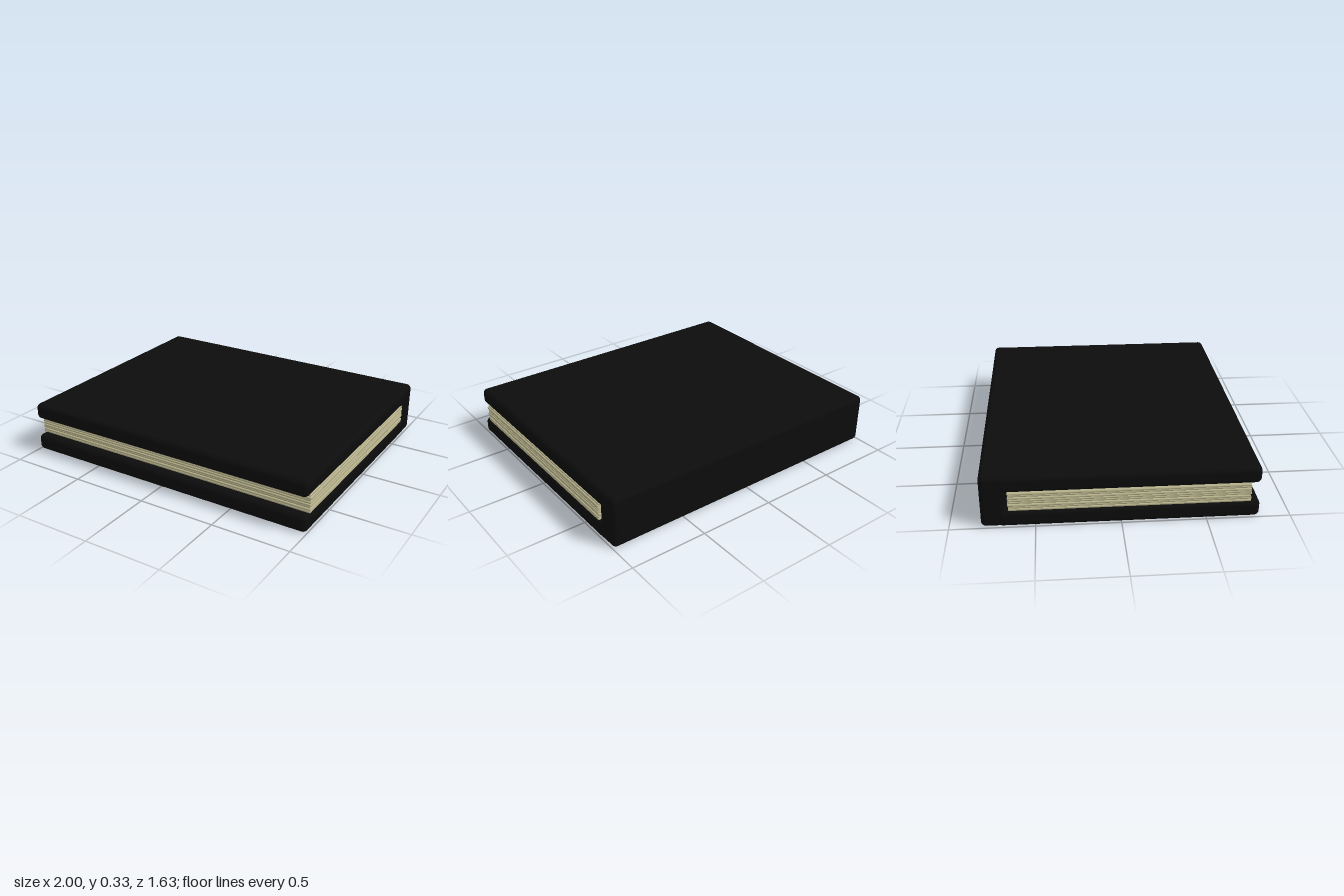
import * as THREE from 'three';
import { RoundedBoxGeometry } from 'three/addons/geometries/RoundedBoxGeometry.js';

const leather = new THREE.MeshStandardMaterial({ color: 0x0c0c0c });
const paper = new THREE.MeshStandardMaterial({ color: 0xb5b08a });

// Rounded slab given by its limits on each axis
function slab(name, [x0, x1], [y0, y1], [z0, z1], radius, material) {
  const geometry = new RoundedBoxGeometry(x1 - x0, y1 - y0, z1 - z0, 4, radius);
  const mesh = new THREE.Mesh(geometry, material);
  mesh.position.set((x0 + x1) / 2, (y0 + y1) / 2, (z0 + z1) / 2);
  mesh.name = name;
  return mesh;
}

export function createModel() {
  const book = new THREE.Group();
  book.name = 'book';

  // Thick covers, joined at the back by the spine
  book.add(
    slab('bottomCover', [-1, 1], [0, 0.108], [-0.72, 0.815], 0.032, leather),
    slab('topCover', [-1, 1], [0.224, 0.331], [-0.72, 0.815], 0.032, leather),
    slab('spine', [-0.997, 0.997], [0.001, 0.333], [-0.815, -0.67], 0.03, leather),
  );

  // Stack of soft-edged page bundles, each slightly uneven
  const pages = new THREE.Group();
  pages.name = 'pages';
  const count = 8, bottom = 0.106, step = 0.12 / count;
  for (let i = 0; i < count; i++) {
    const shift = 0.003 * Math.sin(i * 2.4);
    const y = bottom + i * step;
    pages.add(slab('pageBundle', [-0.996 + shift, 0.996 + shift], [y, y + step],
      [-0.655 + shift, 0.758 + shift], 0.006, paper));
  }
  book.add(pages);
  return book;
}
